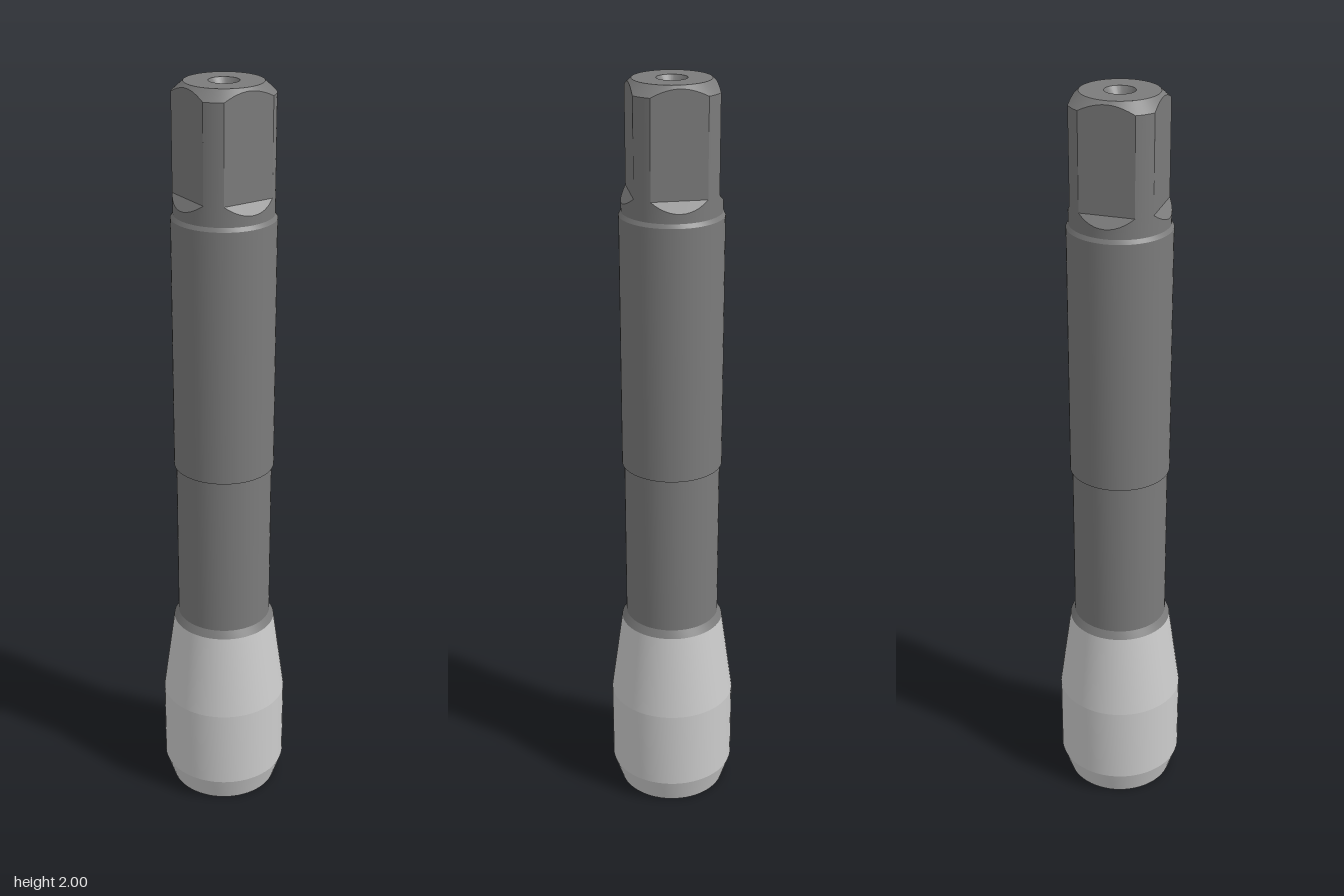
import * as THREE from 'three';
import { toCreasedNormals } from 'three/addons/utils/BufferGeometryUtils.js';

const SEGMENTS = 64;
const dark = new THREE.MeshStandardMaterial({ color: 0x7b7b7b });
const light = new THREE.MeshStandardMaterial({ color: 0xcccccc });

function turned(name, profile, material) {
  const points = profile.map(([r, y]) => new THREE.Vector2(r, y));
  const geometry = toCreasedNormals(new THREE.LatheGeometry(points, SEGMENTS), 0.12);
  const mesh = new THREE.Mesh(geometry, material);
  mesh.name = name;
  return mesh;
}

// Round end milled to four flats, with a conical top and sloped flat run-outs
function squareDrive() {
  const R = 0.126, flat = 0.105, topR = 0.097, flatBase = 1.73;
  const edge = Math.acos(flat / R); // where a flat meets the round corner
  const angles = [];
  for (let q = 0; q < 4; q++) {
    const mid = q * Math.PI / 2;
    for (let i = 0; i < 12; i++) angles.push(mid - edge + 2 * edge * i / 12);
    const corner = Math.PI / 2 - 2 * edge;
    for (let i = 0; i < 6; i++) angles.push(mid + edge + corner * i / 6);
  }
  const rows = 5, position = [], index = [];
  for (const a of angles) {
    const m = Math.max(Math.abs(Math.cos(a)), Math.abs(Math.sin(a)));
    const r = Math.min(R, flat / m);
    const runOut = flatBase - Math.max(0, R * m - flat) * 1.25;
    const column = [[R, 1.68], [R, runOut], [r, flatBase], [r, 2 - (r - topR) * 0.9], [topR, 2]];
    for (const [cr, y] of column) position.push(cr * Math.sin(a), y, cr * Math.cos(a));
  }
  const n = angles.length;
  for (let i = 0; i < n; i++) {
    for (let j = 0; j < rows - 1; j++) {
      const a = i * rows + j, b = ((i + 1) % n) * rows + j;
      index.push(a, b, b + 1, a, b + 1, a + 1);
    }
  }
  const geometry = new THREE.BufferGeometry();
  geometry.setAttribute('position', new THREE.Float32BufferAttribute(position, 3));
  geometry.setIndex(index);
  const mesh = new THREE.Mesh(toCreasedNormals(geometry, 0.3), dark);
  mesh.name = 'squareDrive';
  return mesh;
}

export function createModel() {
  const group = new THREE.Group();
  group.name = 'threadFormingTool';
  group.add(
    // Working head with lead-in chamfer and tapered back
    turned('workingHead', [[0.147, 0], [0.17, 0.07], [0.17, 0.295], [0.138, 0.53]], light),
    // Neck and thicker shank
    turned('shank', [
      [0.138, 0.53], [0.126, 0.55], [0.126, 1], [0.132, 1],
      [0.132, 1.67], [0.126, 1.68],
    ], dark),
    squareDrive(),
    // End faces and the countersunk coolant bore
    turned('coolantBore', [
      [0.097, 2], [0.038, 2], [0.026, 1.98],
      [0.026, 0.02], [0.038, 0], [0.147, 0],
    ], dark),
  );
  return group;
}
